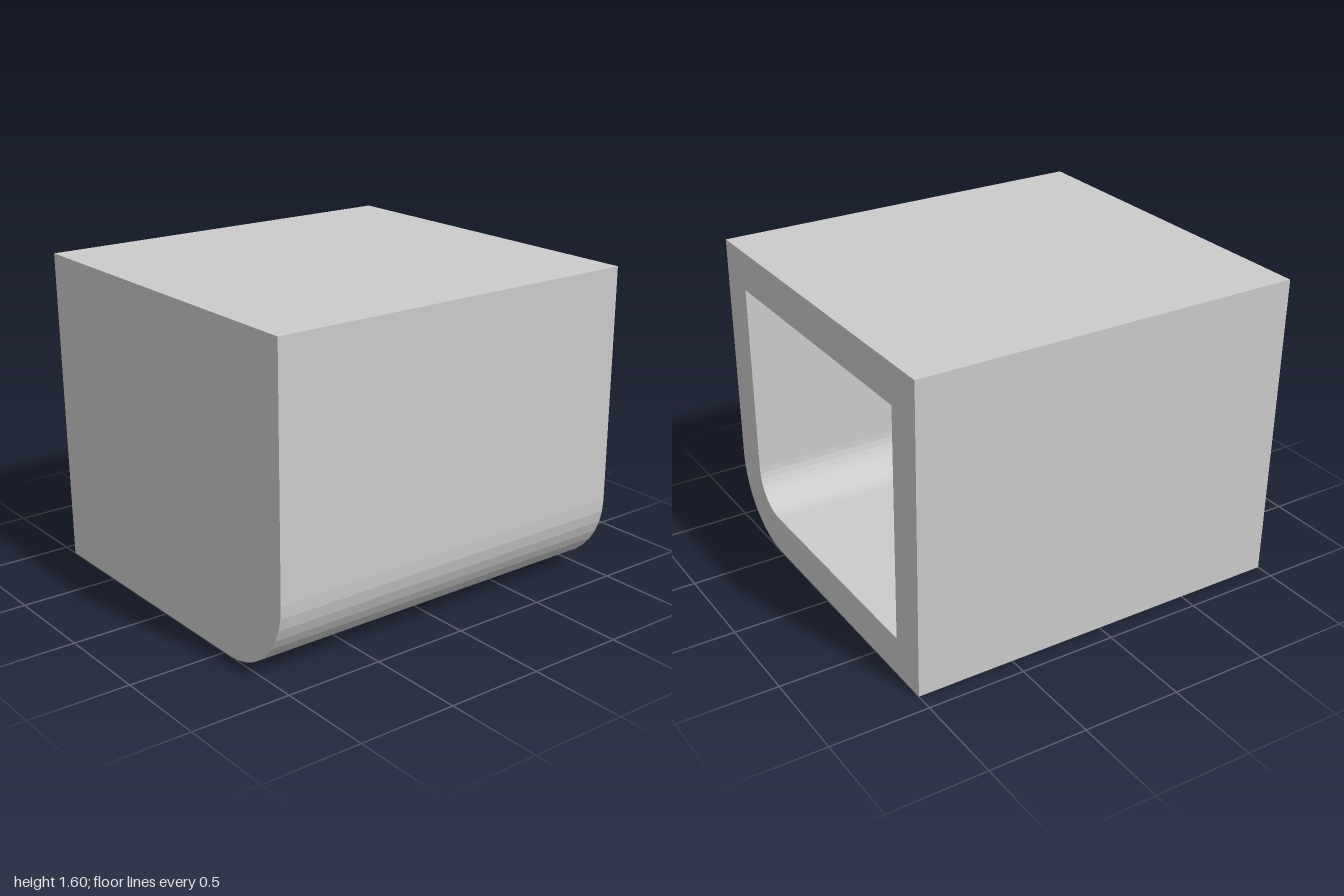
import * as THREE from 'three';

const WALL = 0.2, BACK = -1, FRONT = 1, ARC_STEPS = 10;

// Section inset by t: square at the top, rounded lower +x corner, leaning -x side
function sectionPoints(t) {
  const right = 0.945 - t, r = 0.4 - t, top = 1.6 - t;
  const leftAt = (y) => -0.905 - 0.025 * y + t;
  const pts = [new THREE.Vector2(leftAt(t), t)];
  for (let i = 0; i <= ARC_STEPS; i++) {
    const a = -Math.PI / 2 + (i / ARC_STEPS) * Math.PI / 2;
    pts.push(new THREE.Vector2(right - r + r * Math.cos(a), t + r + r * Math.sin(a)));
  }
  pts.push(new THREE.Vector2(right, top), new THREE.Vector2(leftAt(top), top));
  return pts;
}

// Flat-faced band along a closed loop; a counter-clockwise loop faces outward
function band(pts, z0, z1) {
  const pos = [];
  pts.forEach((a, i) => {
    const b = pts[(i + 1) % pts.length];
    pos.push(a.x, a.y, z0, b.x, b.y, z0, b.x, b.y, z1);
    pos.push(a.x, a.y, z0, b.x, b.y, z1, a.x, a.y, z1);
  });
  const g = new THREE.BufferGeometry();
  g.setAttribute('position', new THREE.Float32BufferAttribute(pos, 3));
  g.computeVertexNormals();
  return g;
}

// Flat face at depth z, facing +z, or -z when flipped
function face(shape, z, flip) {
  const g = new THREE.ShapeGeometry(shape);
  if (flip) {
    g.index.array.reverse();
    g.computeVertexNormals();
  }
  return g.translate(0, 0, z);
}

export function createModel() {
  const group = new THREE.Group();
  group.name = 'hollowHousing';
  const material = new THREE.MeshStandardMaterial({ color: 0xcccccc });
  const add = (name, geometry) => {
    const mesh = new THREE.Mesh(geometry, material);
    mesh.name = name;
    group.add(mesh);
  };

  const outer = sectionPoints(0), inner = sectionPoints(WALL);
  const rim = new THREE.Shape(outer);
  rim.holes.push(new THREE.Path(inner));

  // Outside shell and closed front
  add('outerWalls', band(outer, BACK, FRONT));
  add('frontPanel', face(new THREE.Shape(outer), FRONT, false));

  // Open back with its cavity
  add('backRim', face(rim, BACK, true));
  add('cavityWalls', band([...inner].reverse(), BACK, FRONT - WALL));
  add('cavityEnd', face(new THREE.Shape(inner), FRONT - WALL, true));

  return group;
}
